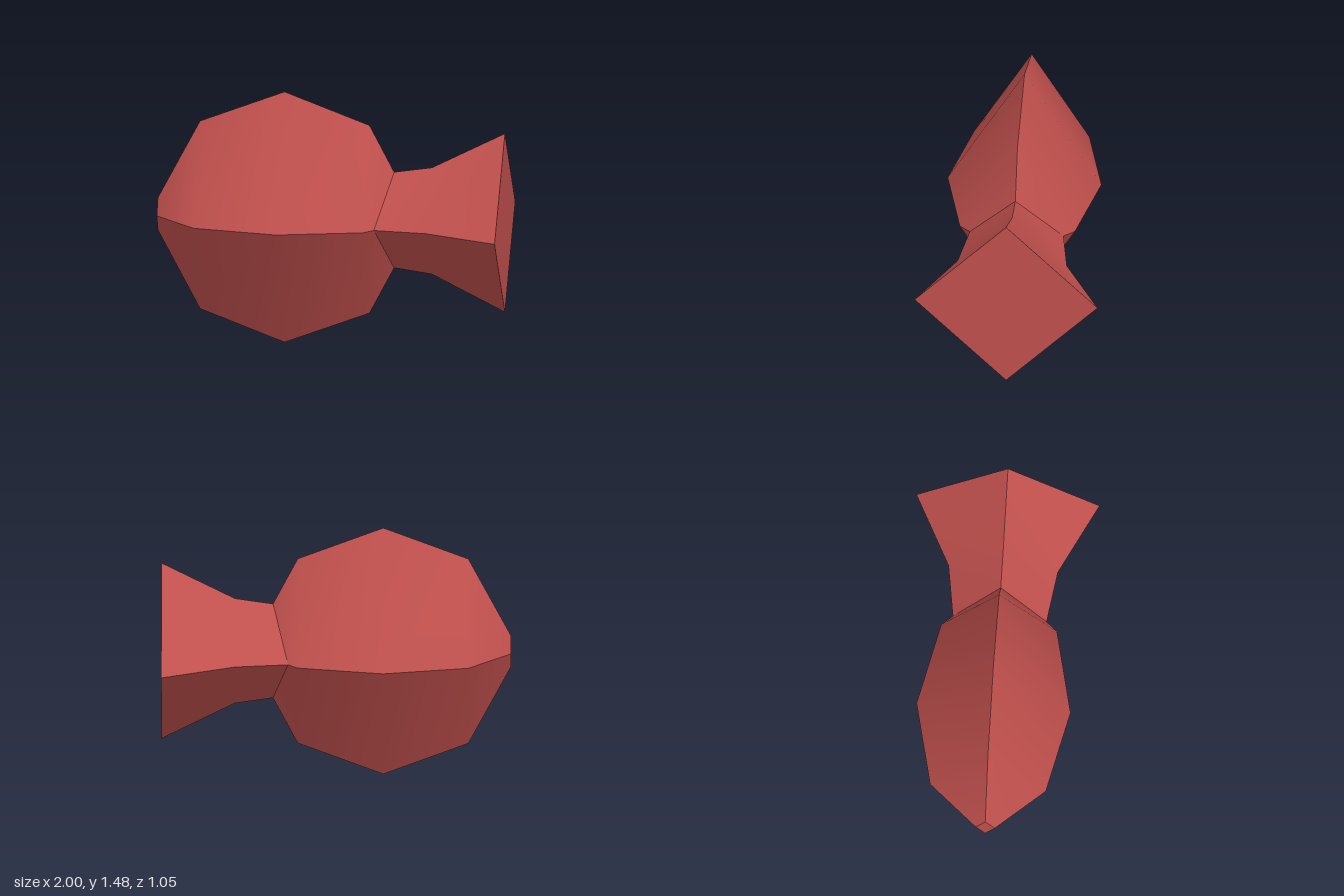
import * as THREE from 'three';

const MID = 0.74; // height of the long axis

// Lofts diamond cross-sections [x, halfHeight, halfDepth]; each of the four
// sides is smooth along x, with sharp ridges between sides and flat end caps.
function diamondLoft(sections) {
  const pos = [];
  const index = [];
  const corner = ([x, ry, rz], k) => {
    const a = (k % 4) * Math.PI / 2;
    return [x, MID + ry * Math.cos(a), rz * Math.sin(a)];
  };
  for (let k = 0; k < 4; k++) {
    const base = pos.length / 3;
    sections.forEach((s, i) => {
      pos.push(...corner(s, k), ...corner(s, k + 1));
      if (i < sections.length - 1) {
        const a = base + i * 2;
        index.push(a, a + 1, a + 2, a + 1, a + 3, a + 2);
      }
    });
  }
  // End caps
  [[sections[0], true], [sections[sections.length - 1], false]].forEach(([s, flip]) => {
    const b = pos.length / 3;
    for (let k = 0; k < 4; k++) pos.push(...corner(s, k));
    if (flip) index.push(b, b + 2, b + 1, b, b + 3, b + 2);
    else index.push(b, b + 1, b + 2, b, b + 2, b + 3);
  });
  const g = new THREE.BufferGeometry();
  g.setAttribute('position', new THREE.Float32BufferAttribute(pos, 3));
  g.setIndex(index);
  g.computeVertexNormals();
  return g;
}

export function createModel() {
  const model = new THREE.Group();
  model.name = 'fish';
  const red = new THREE.MeshStandardMaterial({ color: 0xc0504d });
  red.name = 'brickRed';

  const add = (name, sections) => {
    const mesh = new THREE.Mesh(diamondLoft(sections), red);
    mesh.name = name;
    model.add(mesh);
  };

  // Faceted body, symmetric about x = -0.27
  add('body', [
    [-1, 0.095, 0.055],
    [-0.757, 0.553, 0.332],
    [-0.27, 0.738, 0.442],
    [0.22, 0.553, 0.332],
    [0.46, 0.095, 0.055],
  ]);

  // Flared tail, its root sunk inside the body
  add('tail', [
    [0.2, 0.258, 0.258],
    [0.58, 0.314, 0.314],
    [1, 0.526, 0.526],
  ]);

  return model;
}
